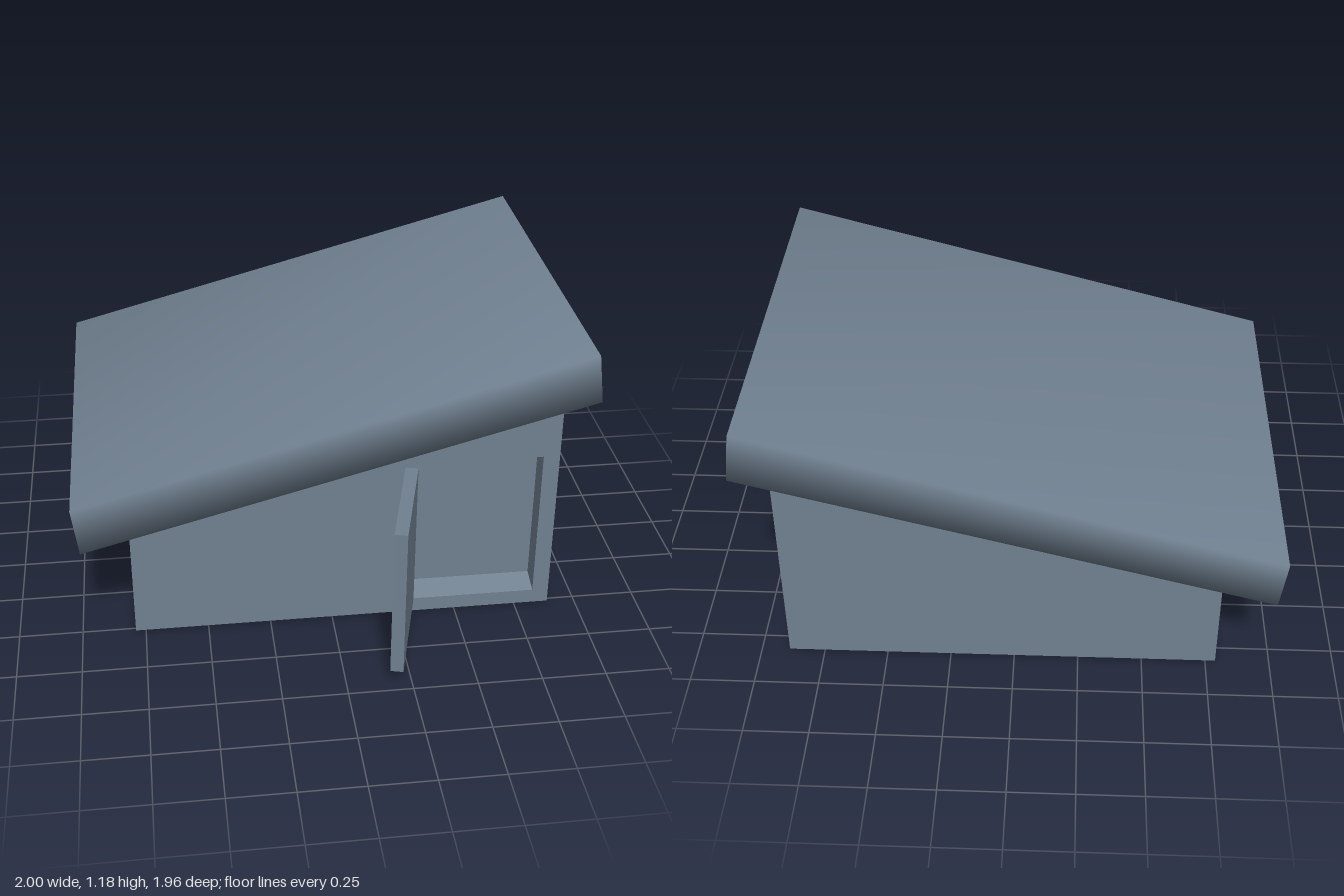
import * as THREE from 'three';
import { mergeVertices } from 'three/addons/utils/BufferGeometryUtils.js';

const slate = new THREE.MeshStandardMaterial({ color: 0x708090 });
slate.name = 'slate grey';

const FRONT = 0.515, BACK = -0.82, RECESS = 0.09;
const DOOR = { x0: 0.33, x1: 0.825, y0: 0.06, y1: 0.695 };

function part(name, geometry) {
  const mesh = new THREE.Mesh(geometry, slate);
  mesh.name = name;
  return mesh;
}

// Extrude an outline in the xy plane between two z positions
function slab(shape, z0, z1) {
  const g = new THREE.ExtrudeGeometry(shape, { depth: z1 - z0, bevelEnabled: false });
  return g.translate(0, 0, z0);
}

const outline = (points) => new THREE.Shape(points.map(([x, y]) => new THREE.Vector2(x, y)));
const wallOutline = () => outline([[-0.79, 0], [0.89, 0], [0.89, 0.955], [-0.79, 0.509]]);

// Leaning roof slab: a welded box with smooth normals across its edges
function roofGeometry() {
  let g = new THREE.BoxGeometry(1, 1, 1);
  g.deleteAttribute('uv');
  g.deleteAttribute('normal');
  g = mergeVertices(g);
  const p = g.attributes.position;
  const top = [[-1, 0.653], [0.975, 1.182]];
  const bottom = [[-0.975, 0.46], [1, 0.986]];
  for (let i = 0; i < p.count; i++) {
    const [x, y] = (p.getY(i) > 0 ? top : bottom)[p.getX(i) > 0 ? 1 : 0];
    p.setXYZ(i, x, y, p.getZ(i) > 0 ? 0.625 : -0.98);
  }
  g.computeVertexNormals();
  return g;
}

export function createModel() {
  const model = new THREE.Group();
  model.name = 'shed';

  // Walls: solid block with a front layer cut for the doorway
  model.add(part('walls', slab(wallOutline(), BACK, FRONT - RECESS)));
  const frontShape = wallOutline();
  const { x0, x1, y0, y1 } = DOOR;
  frontShape.holes.push(outline([[x0, y0], [x0, y1], [x1, y1], [x1, y0]]));
  model.add(part('frontWall', slab(frontShape, FRONT - RECESS, FRONT)));

  // Sloping sill on the doorway floor (profile drawn in depth and height)
  const sill = slab(outline([[0, 0], [RECESS, 0], [RECESS, 0.03]]), 0, x1 - x0);
  sill.rotateY(Math.PI / 2).translate(x0, y0, FRONT);
  model.add(part('doorSill', sill));

  // Open door, hinged at the left side of the doorway
  const door = new THREE.Group();
  door.name = 'door';
  const panel = new THREE.BoxGeometry(0.05, 0.62, 0.466).translate(-0.025, 0.31, 0.233);
  door.add(part('doorPanel', panel));
  door.position.set(0.33, 0.066, 0.528);
  door.rotation.y = -0.256;
  model.add(door);

  model.add(part('roof', roofGeometry()));
  return model;
}
